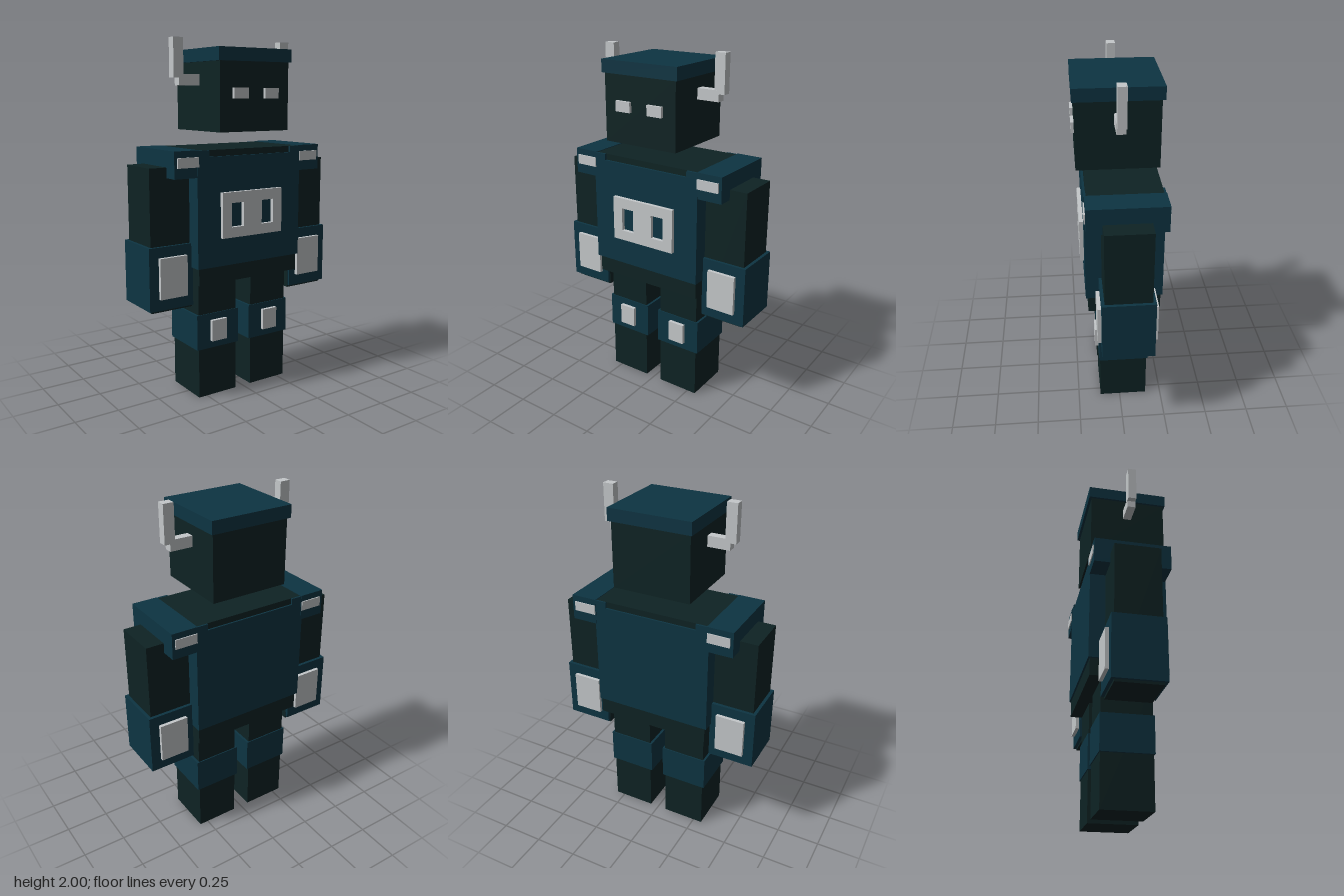
import * as THREE from 'three';

const mat = (name, color) => {
  const m = new THREE.MeshStandardMaterial({ color });
  m.name = name;
  return m;
};

export function createModel() {
  const dark = mat('dark green black', 0x0e2324);
  const blue = mat('deep teal', 0x0d3442);
  const grey = mat('light grey', 0xc4c8ca);

  const model = new THREE.Group();
  model.name = 'blockRobot';

  // Box given by its limits on each axis
  const box = (parent, name, material, [x0, x1], [y0, y1], [z0, z1]) => {
    const mesh = new THREE.Mesh(new THREE.BoxGeometry(x1 - x0, y1 - y0, z1 - z0), material);
    mesh.position.set((x0 + x1) / 2, (y0 + y1) / 2, (z0 + z1) / 2);
    mesh.name = name;
    parent.add(mesh);
    return mesh;
  };
  const group = (name) => {
    const g = new THREE.Group();
    g.name = name;
    model.add(g);
    return g;
  };
  // Limits of a span mirrored to the given side
  const span = (s, a, b) => (s > 0 ? [a, b] : [-b, -a]);

  // Head with cap
  const head = group('head');
  box(head, 'skull', dark, [-0.227, 0.225], [1.505, 1.88], [-0.215, 0.225]);
  box(head, 'cap', blue, [-0.24, 0.238], [1.875, 1.945], [-0.23, 0.236]);

  // Torso with armour shell, leaving a shallow neck notch front and back
  const torso = group('torso');
  box(torso, 'body', dark, [-0.335, 0.335], [0.677, 1.412], [-0.225, 0.18]);
  box(torso, 'armour', blue, [-0.348, 0.342], [0.773, 1.377], [-0.235, 0.193]);

  // Chest badge with two slots
  const badge = new THREE.Shape();
  const rect = (path, x0, x1, y0, y1) =>
    path.moveTo(x0, y0).lineTo(x1, y0).lineTo(x1, y1).lineTo(x0, y1).closePath();
  rect(badge, -0.203, 0.198, 0.93, 1.182);
  for (const [x0, x1] of [[-0.143, -0.065], [0.058, 0.137]]) {
    const hole = new THREE.Path();
    rect(hole, x0, x1, 0.988, 1.122);
    badge.holes.push(hole);
  }
  const badgeMesh = new THREE.Mesh(
    new THREE.ExtrudeGeometry(badge, { depth: 0.023, bevelEnabled: false }), grey);
  badgeMesh.position.z = 0.192;
  badgeMesh.name = 'chestBadge';
  torso.add(badgeMesh);

  for (const s of [1, -1]) {
    const side = s > 0 ? 'left' : 'right';

    // Eye and two-piece horn
    box(head, side + 'Eye', grey, span(s, 0.055, 0.147), [1.68, 1.737], [0.22, 0.242]);
    box(head, side + 'HornBase', grey, span(s, 0.22, 0.354), [1.75, 1.81], [-0.023, 0.025]);
    box(head, side + 'HornTip', grey, span(s, 0.326, 0.386), [1.79, 2.0], [-0.025, 0.023]);

    // Raised armour corners beside the neck notch
    for (const [name, z] of [['Front', [0.18, 0.193]], ['Back', [-0.235, -0.225]]])
      box(torso, side + name + 'Corner', blue, span(s, 0.272, 0.34), [1.377, 1.412], z);

    // Shoulder pad with trim on both faces
    const shoulder = group(side + 'Shoulder');
    box(shoulder, 'pad', blue, span(s, 0.335, 0.485), [1.27, 1.415], [-0.237, 0.19]);
    box(shoulder, 'trim', grey, span(s, 0.34, 0.468), [1.326, 1.38], [-0.243, 0.198]);

    // Arm with gauntlet, plated front and back
    const arm = group(side + 'Arm');
    box(arm, 'arm', dark, span(s, 0.337, 0.587), [0.547, 1.326], [-0.148, 0.105]);
    box(arm, 'gauntlet', blue, span(s, 0.339, 0.605), [0.56, 0.908], [-0.166, 0.121]);
    box(arm, 'gauntletPlates', grey, span(s, 0.383, 0.549), [0.625, 0.85], [-0.186, 0.141]);

    // Leg with knee guard, plated in front only
    const leg = group(side + 'Leg');
    box(leg, 'leg', dark, span(s, 0.052, 0.302), [0, 0.67], [-0.16, 0.117]);
    box(leg, 'kneeGuard', blue, span(s, 0.038, 0.315), [0.285, 0.488], [-0.166, 0.122]);
    box(leg, 'kneePlate', grey, span(s, 0.128, 0.227), [0.328, 0.45], [0.115, 0.142]);
  }
  return model;
}
